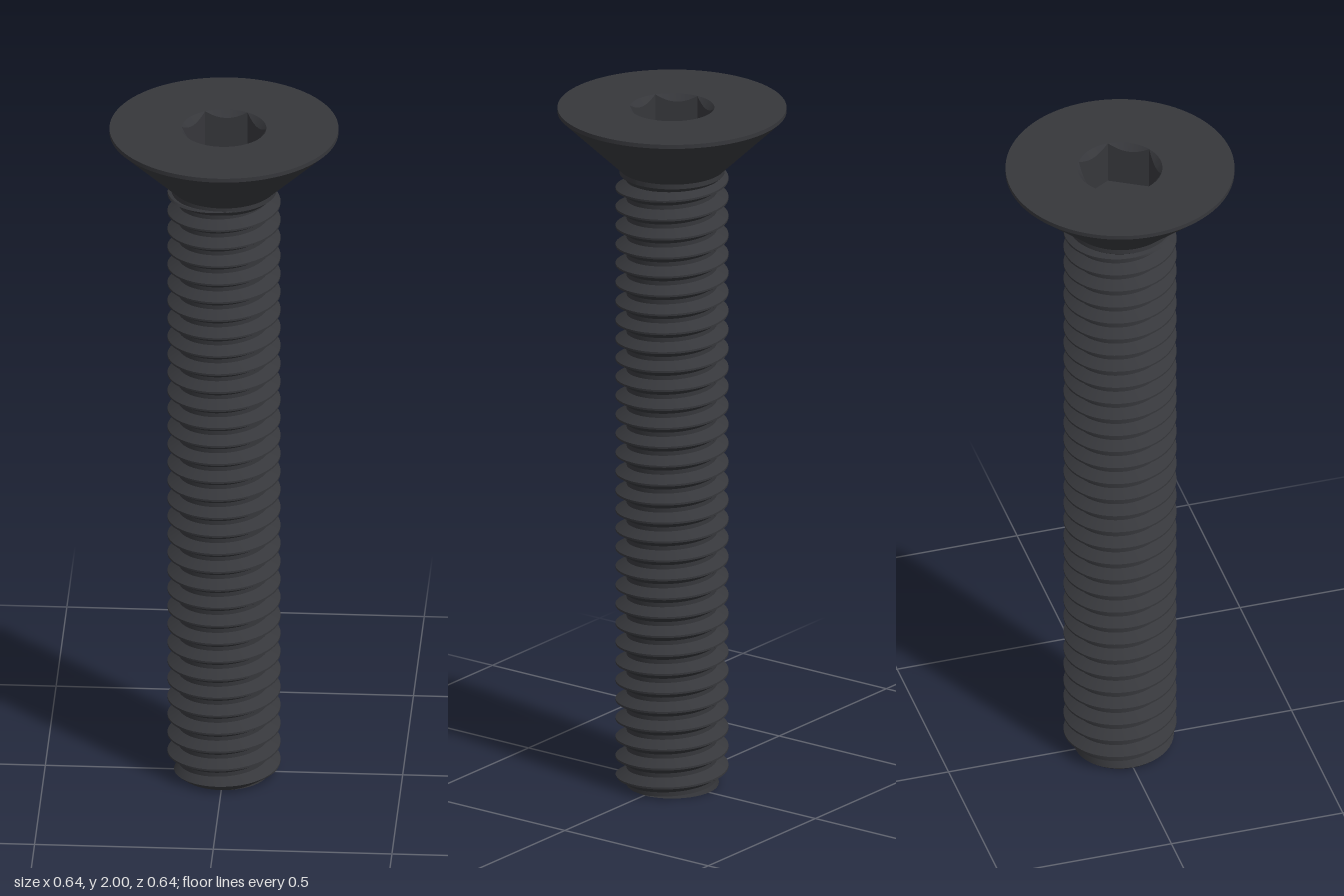
import * as THREE from 'three';
import { toCreasedNormals } from 'three/addons/utils/BufferGeometryUtils.js';

const HEAD_R = 0.32, MAJOR_R = 0.158, MINOR_R = 0.127, PITCH = 0.056;
const THREAD_TOP = 1.812, TIP_R = 0.13;
const HEX_R = 0.1185, SOCKET_DEPTH = 0.13;

// Grid surface: point(i, j) gives [x, y, z]; i runs around, j runs up.
function gridSurface(cols, rows, point) {
  const pos = [], index = [];
  for (let j = 0; j <= rows; j++)
    for (let i = 0; i <= cols; i++) pos.push(...point(i, j));
  const w = cols + 1;
  for (let j = 0; j < rows; j++)
    for (let i = 0; i < cols; i++) {
      const a = j * w + i;
      index.push(a, a + 1, a + w, a + 1, a + w + 1, a + w);
    }
  const g = new THREE.BufferGeometry();
  g.setAttribute('position', new THREE.Float32BufferAttribute(pos, 3));
  g.setIndex(index);
  g.computeVertexNormals();
  return g;
}

const polar = (r, a, y) => [r * Math.cos(a), y, -r * Math.sin(a)];

// Right-handed helical thread: one band per side of the tooth profile
function createThread(material) {
  const thread = new THREE.Group();
  thread.name = 'thread';
  const steps = 48, turns = Math.ceil(THREAD_TOP / PITCH) + 2;
  const profile = [ // radius, height as a share of the pitch
    [MINOR_R, 0], [MINOR_R, 0.22], [MAJOR_R, 0.56], [MAJOR_R, 0.66], [MINOR_R, 1],
  ];
  const names = ['threadRoot', 'threadLowerFlank', 'threadCrest', 'threadUpperFlank'];
  names.forEach((name, k) => {
    const band = gridSurface(turns * steps, 1, (i, j) => {
      const [r, h] = profile[k + j];
      const t = i / steps;
      const y = THREE.MathUtils.clamp((t + h - 1) * PITCH, 0, THREAD_TOP);
      // chamfer the tip and run out under the head
      const limit = Math.min(TIP_R + y, 0.147 + (THREAD_TOP - y));
      return polar(Math.min(r, limit), t * Math.PI * 2, y);
    });
    const mesh = new THREE.Mesh(band, material);
    mesh.name = name;
    thread.add(mesh);
  });
  return thread;
}

// Hexagonal recess with a conical lead-in and a flat floor
function createSocket() {
  const cols = 96, apothem = HEX_R * Math.cos(Math.PI / 6);
  const g = gridSurface(cols, 3, (i, j) => {
    const a = (i / cols) * Math.PI * 2;
    const h = apothem / Math.cos((a % (Math.PI / 3)) - Math.PI / 6);
    if (j === 0) return polar(HEX_R, a, 2);
    if (j === 1) return polar(h, a, 2 - (HEX_R - h) * 1.2);
    return polar(j === 2 ? h : 0, a, 2 - SOCKET_DEPTH);
  });
  return toCreasedNormals(g, 0.4);
}

export function createModel() {
  const model = new THREE.Group();
  model.name = 'countersunkScrew';
  const material = new THREE.MeshStandardMaterial({ color: 0x36373b });
  const add = (geometry, name) => {
    const mesh = new THREE.Mesh(geometry, material);
    mesh.name = name;
    model.add(mesh);
    return mesh;
  };

  // Countersunk head with a short neck and a thin rim
  const outline = [
    [MINOR_R, 1.79], [0.147, 1.808], [0.147, 1.822], [0.155, 1.83],
    [HEAD_R, 1.988], [HEAD_R, 2], [HEX_R, 2],
  ].map(([r, y]) => new THREE.Vector2(r, y));
  add(toCreasedNormals(new THREE.LatheGeometry(outline, 96), 0.5), 'head');

  add(createSocket(), 'hexSocket');
  model.add(createThread(material));

  // Flat end of the shank
  add(new THREE.CircleGeometry(TIP_R, 48).rotateX(Math.PI / 2), 'tip');

  return model;
}
